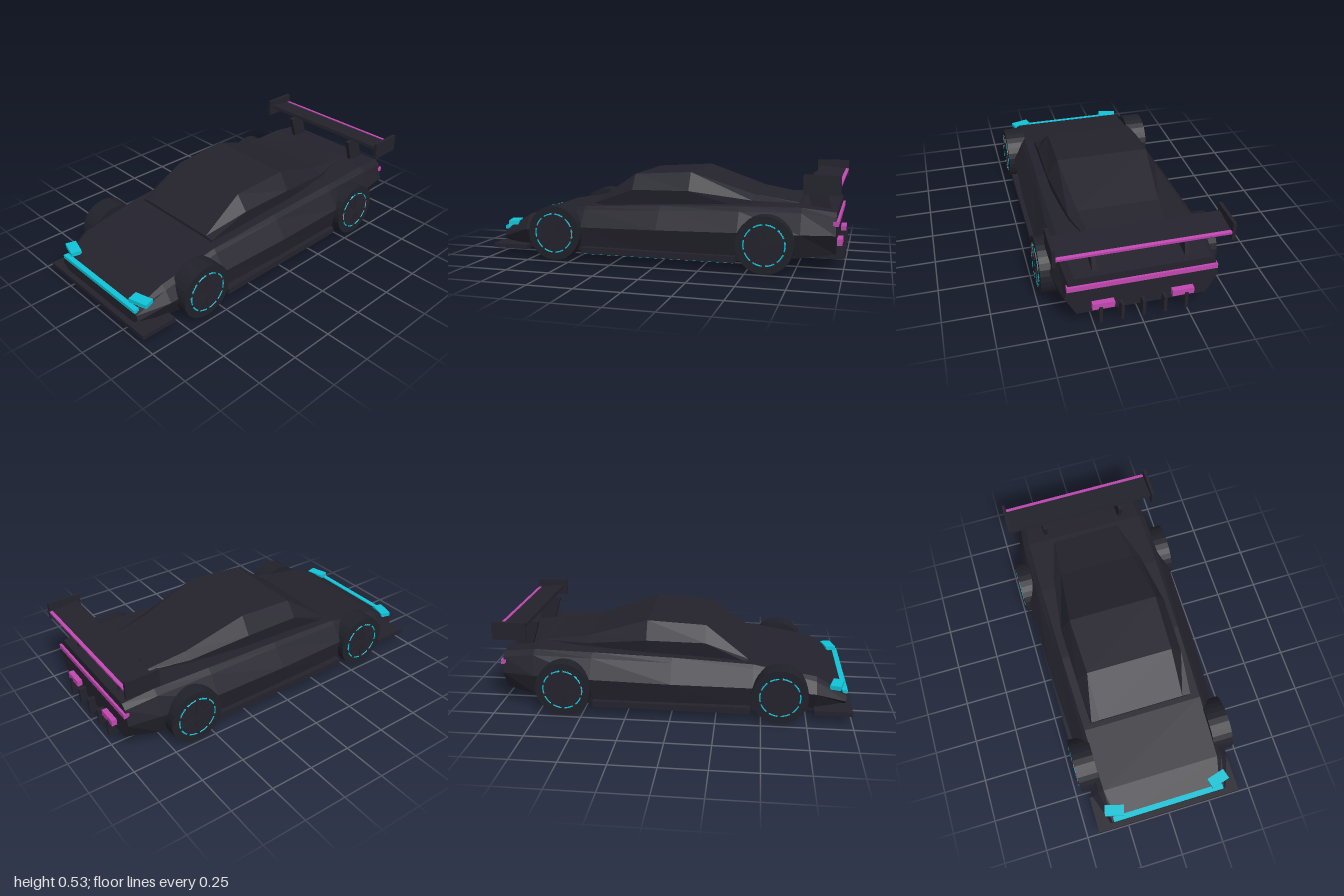
import * as THREE from 'three';

const material = (name, color) => {
  const m = new THREE.MeshStandardMaterial({ color });
  m.name = name;
  m.flatShading = true;
  return m;
};

// Skin mirrored half sections, listed front to back as [z, [x, y] from bottom to top]
function loft(sections) {
  const rings = sections.map(([z, ...half]) => [
    ...half.map(([x, y]) => [x, y, z]),
    ...half.slice().reverse().map(([x, y]) => [-x, y, z]),
  ]);
  const n = rings[0].length;
  const index = [];
  for (let i = 0; i < rings.length - 1; i++) {
    for (let j = 0; j < n; j++) {
      const a = i * n + j, b = i * n + (j + 1) % n, c = b + n, d = a + n;
      index.push(a, d, b, d, c, b);
    }
  }
  const last = (rings.length - 1) * n;
  for (let j = 1; j < n - 1; j++) {
    index.push(0, j, j + 1, last, last + j + 1, last + j);
  }
  const indexed = new THREE.BufferGeometry();
  indexed.setAttribute('position', new THREE.Float32BufferAttribute(rings.flat(2), 3));
  indexed.setIndex(index);
  const geometry = indexed.toNonIndexed();
  geometry.computeVertexNormals();
  return geometry;
}

export function createModel() {
  const car = new THREE.Group();
  car.name = 'sportsCar';
  const paint = material('blackPaint', 0x24232d);
  const rubber = material('rubber', 0x21212a);
  const cyan = material('cyanLight', 0x10c4d8);
  const pink = material('pinkLight', 0xc248b2);

  const add = (name, geometry, mat, x = 0, y = 0, z = 0, parent = car) => {
    const mesh = new THREE.Mesh(geometry, mat);
    mesh.name = name;
    mesh.position.set(x, y, z);
    parent.add(mesh);
    return mesh;
  };
  const box = (name, w, h, d, mat, x, y, z, parent) =>
    add(name, new THREE.BoxGeometry(w, h, d), mat, x, y, z, parent);

  // Wedge body: floor, waist, shoulder and deck edge at each station
  add('body', loft([
    [0.97, [0.29, 0.06], [0.35, 0.10], [0.34, 0.13], [0.31, 0.14]],
    [0.80, [0.36, 0.05], [0.41, 0.16], [0.37, 0.22], [0.34, 0.24]],
    [0.45, [0.41, 0.05], [0.43, 0.19], [0.37, 0.28], [0.35, 0.30]],
    [0.00, [0.42, 0.05], [0.45, 0.20], [0.38, 0.30], [0.36, 0.325]],
    [-0.45, [0.42, 0.05], [0.455, 0.21], [0.395, 0.315], [0.365, 0.34]],
    [-0.78, [0.39, 0.08], [0.43, 0.21], [0.395, 0.32], [0.36, 0.345]],
    [-0.96, [0.34, 0.10], [0.40, 0.21], [0.38, 0.30], [0.35, 0.325]],
  ]), paint);

  // Cabin: base, belt line and roof edge
  add('cabin', loft([
    [0.42, [0.305, 0.29], [0.30, 0.312], [0.25, 0.318]],
    [0.18, [0.30, 0.29], [0.315, 0.40], [0.25, 0.485]],
    [-0.15, [0.30, 0.29], [0.32, 0.405], [0.26, 0.505]],
    [-0.50, [0.275, 0.30], [0.275, 0.36], [0.225, 0.39]],
    [-0.75, [0.205, 0.32], [0.205, 0.345], [0.20, 0.349]],
  ]), paint);

  // Aero floor parts
  box('frontSplitter', 0.855, 0.025, 0.21, paint, 0, 0.057, 0.895);
  for (let i = -2; i <= 2; i++) {
    box('diffuserFin', 0.018, 0.095, 0.155, paint, i * 0.112, 0.098, -0.922);
  }

  // Light bars
  box('frontLightBar', 0.66, 0.02, 0.03, cyan, 0, 0.15, 0.96);
  box('tailLightBar', 0.78, 0.026, 0.03, pink, 0, 0.27, -0.958);

  for (const side of [-1, 1]) {
    const label = side > 0 ? 'left' : 'right';

    box(label + 'Headlight', 0.11, 0.024, 0.06, cyan, side * 0.312, 0.184, 0.917)
      .rotation.y = side * 0.27;
    box(label + 'LowerTailLight', 0.115, 0.035, 0.035, pink, side * 0.208, 0.15, -0.972);

    // Side skirt with a light strip underneath
    box(label + 'SideSkirt', 0.05, 0.035, 0.88, paint, side * 0.43, 0.064, 0);
    box(label + 'UnderglowStrip', 0.016, 0.008, 0.86, cyan, side * 0.425, 0.044, 0);

    // Wing end plates and leaning struts
    box(label + 'WingEndPlate', 0.018, 0.10, 0.19, paint, side * 0.45, 0.48, -0.888);
    const lean = new THREE.BoxGeometry(0.024, 0.14, 0.1);
    const p = lean.attributes.position;
    for (let i = 0; i < p.count; i++) p.setZ(i, p.getZ(i) + p.getY(i) * 0.3);
    add(label + 'WingStrut', lean, paint, side * 0.24, 0.40, -0.853);
  }

  // Rear wing blade, tilted, with a lit trailing edge
  const wing = new THREE.Group();
  wing.name = 'rearWing';
  wing.position.set(0, 0.476, -0.895);
  wing.rotation.x = -0.13;
  car.add(wing);
  box('wingBlade', 0.89, 0.02, 0.16, paint, 0, 0, 0, wing);
  box('wingLightStrip', 0.88, 0.014, 0.018, pink, 0, 0.007, -0.078, wing);

  // Wheels, built with the outer face along +x and turned for the right side
  const tyreGeometry = (width) => new THREE.CylinderGeometry(0.155, 0.155, width, 28).rotateZ(-Math.PI / 2);
  const rimGeometry = new THREE.CylinderGeometry(0.115, 0.115, 0.008, 28).rotateZ(-Math.PI / 2);
  const ringGeometry = new THREE.TorusGeometry(0.11, 0.005, 6, 40).rotateY(Math.PI / 2);
  const spokeGeometry = new THREE.BoxGeometry(0.012, 0.105, 0.016).translate(0, 0.065, 0);

  for (const [axle, z, inner, outer] of [['front', 0.6, 0.345, 0.463], ['rear', -0.6, 0.345, 0.481]]) {
    for (const side of [-1, 1]) {
      const wheel = new THREE.Group();
      wheel.name = axle + (side > 0 ? 'Left' : 'Right') + 'Wheel';
      wheel.position.set(0, 0.156, z);
      if (side < 0) wheel.rotation.y = Math.PI;
      car.add(wheel);
      add('tyre', tyreGeometry(outer - inner), rubber, (inner + outer) / 2, 0, 0, wheel);
      add('rim', rimGeometry, paint, outer - 0.002, 0, 0, wheel);
      add('lightRing', ringGeometry, cyan, outer, 0, 0, wheel);
      for (let i = 0; i < 10; i++) {
        add('spoke', spokeGeometry, paint, outer, 0, 0, wheel).rotation.x = (i * Math.PI) / 5;
      }
    }
  }

  return car;
}
